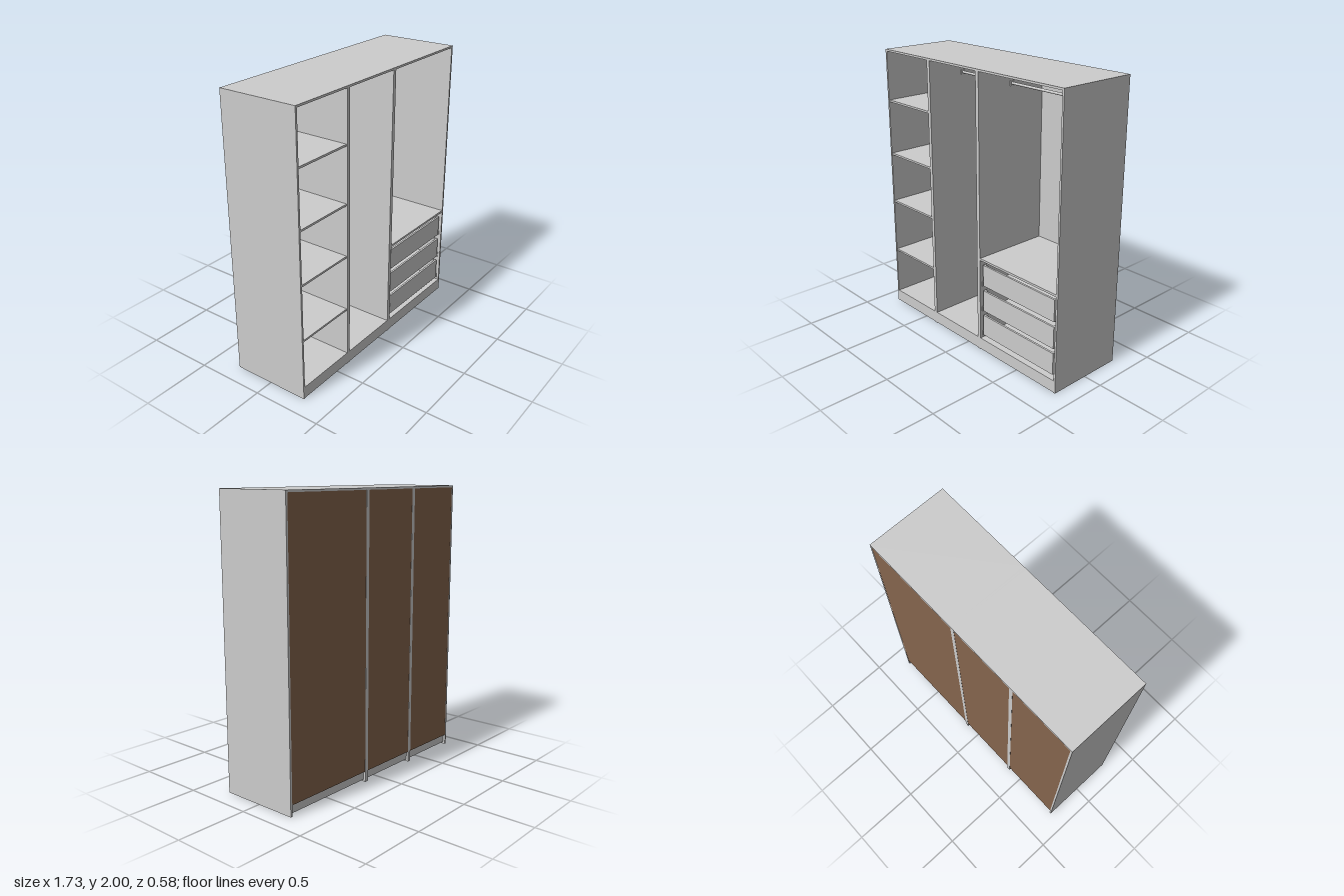
import * as THREE from 'three';

const T = 0.014;            // board thickness
const BACK = -0.289, FRONT = 0.289;
const FLOOR = 0.09;         // top of the bottom boards

export function createModel() {
  const grey = new THREE.MeshStandardMaterial({ color: 0xcccccc });
  grey.name = 'grey board';
  const brown = new THREE.MeshStandardMaterial({ color: 0x85654d });
  brown.name = 'brown backing';

  const model = new THREE.Group();
  model.name = 'wardrobe';

  // Box given by its limits on each axis
  function box(parent, name, [x0, x1], [y0, y1], [z0, z1], material = grey) {
    const mesh = new THREE.Mesh(new THREE.BoxGeometry(x1 - x0, y1 - y0, z1 - z0), material);
    mesh.position.set((x0 + x1) / 2, (y0 + y1) / 2, (z0 + z1) / 2);
    mesh.name = name;
    parent.add(mesh);
    return mesh;
  }

  // Open-fronted cabinet: boards, plinth rails, backing and wall brackets
  function cabinet(name, x0, x1) {
    const g = new THREE.Group();
    g.name = name;
    model.add(g);
    const inner = [x0 + T, x1 - T];
    box(g, 'rightSide', [x0, x0 + T], [0, 2], [BACK, FRONT]);
    box(g, 'leftSide', [x1 - T, x1], [0, 2], [BACK, FRONT]);
    box(g, 'top', inner, [2 - T, 2], [BACK, FRONT]);
    box(g, 'bottom', inner, [FLOOR - T, FLOOR], [BACK + 0.003, FRONT]);
    box(g, 'frontPlinth', inner, [0.004, FLOOR - T], [FRONT - T, FRONT]);
    box(g, 'backPlinth', inner, [0.015, FLOOR - T], [BACK + 0.015, BACK + 0.015 + T]);
    box(g, 'backLining', inner, [FLOOR, 2 - T], [BACK + 0.004, BACK + 0.008]);
    box(g, 'backing', inner, [FLOOR - T, 2 - T], [BACK + 0.001, BACK + 0.004], brown);
    for (const x of [inner[0] + 0.003, inner[1] - 0.045])
      box(g, 'wallBracket', [x, x + 0.042], [1.89, 1.932], [BACK + 0.008, BACK + 0.022]);
    return { g, inner };
  }

  // Clothes rail with end sockets
  function rail({ g, inner }) {
    const geometry = new THREE.CylinderGeometry(0.009, 0.009, inner[1] - inner[0], 16);
    geometry.rotateZ(Math.PI / 2);
    const rod = new THREE.Mesh(geometry, grey);
    rod.position.set((inner[0] + inner[1]) / 2, 1.873, 0);
    rod.name = 'clothesRail';
    g.add(rod);
    for (const x of [inner[0], inner[1] - 0.006])
      box(g, 'railSocket', [x, x + 0.006], [1.855, 1.89], [-0.016, 0.016]);
  }

  // Shelf cabinet
  const shelves = cabinet('shelfCabinet', -0.865, -0.375);
  for (const y of [1.62, 1.218, 0.842, 0.437])
    box(shelves.g, 'shelf', [shelves.inner[0], shelves.inner[1] - 0.002],
      [y, y + T], [BACK + 0.008, FRONT - 0.004]);

  // Hanging cabinet
  rail(cabinet('hangingCabinet', -0.375, 0.122));

  // Drawer cabinet
  const drawers = cabinet('drawerCabinet', 0.122, 0.864);
  rail(drawers);
  const [a, b] = drawers.inner;
  box(drawers.g, 'drawerCover', [a, b], [0.695, 0.71], [BACK + 0.008, FRONT - 0.002]);

  for (const y of [0.12, 0.312, 0.506]) {
    const d = new THREE.Group();
    d.name = 'drawer';
    drawers.g.add(d);
    const x0 = a + 0.02, x1 = b - 0.023, top = y + 0.157;
    const zb = BACK + 0.03, zf = FRONT - 0.012;
    box(d, 'drawerFront', [x0, x1], [y, top], [zf - T, zf]);
    box(d, 'drawerBack', [x0, x1], [y, top], [zb, zb + T]);
    box(d, 'drawerRightSide', [x0, x0 + T], [y, top], [zb + T, zf - T]);
    box(d, 'drawerLeftSide', [x1 - T, x1], [y, top], [zb + T, zf - T]);
    box(d, 'drawerBase', [x0 + T, x1 - T], [y + 0.01, y + 0.016], [zb + T, zf - T]);
    // L-shaped runners on both walls
    for (const [wall, dir] of [[a, 1], [b, -1]]) {
      const span = (p, q) => [wall + dir * p, wall + dir * q].sort((m, n) => m - n);
      box(d, 'runnerWall', span(0, 0.006), [y - 0.012, y + 0.024], [zb, zf - 0.005]);
      box(d, 'runnerLip', span(0.006, 0.04), [y - 0.009, y - 0.004], [zb, zf - 0.02]);
    }
  }
  return model;
}
